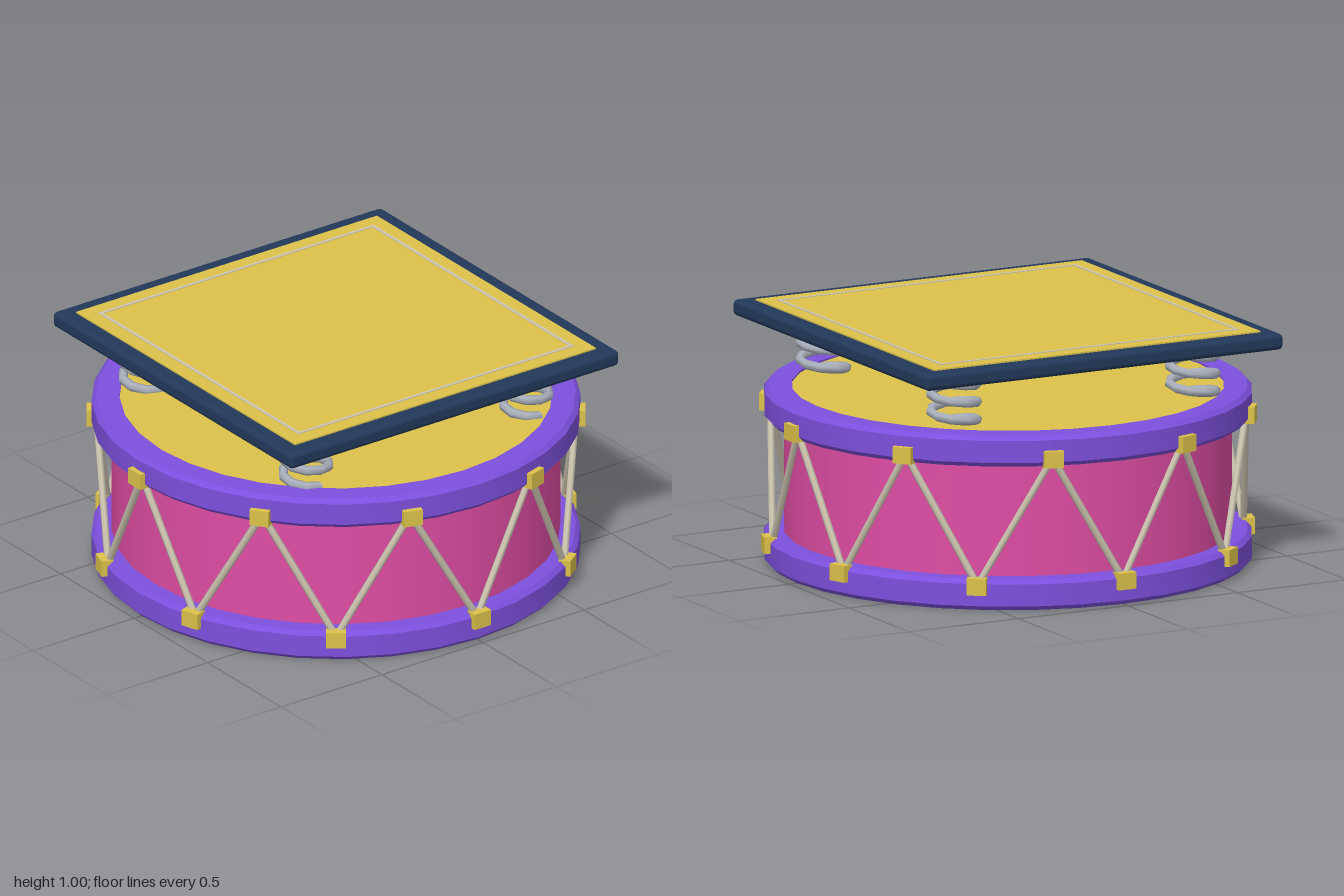
import * as THREE from 'three';
import { toCreasedNormals } from 'three/addons/utils/BufferGeometryUtils.js';
import { RoundedBoxGeometry } from 'three/addons/geometries/RoundedBoxGeometry.js';

const material = (name, color, side = THREE.FrontSide) => {
  const m = new THREE.MeshStandardMaterial({ color, side });
  m.name = name;
  return m;
};

// Helical centre line of a spring
class Helix extends THREE.Curve {
  constructor(radius, height, turns) {
    super();
    Object.assign(this, { radius, height, turns });
  }
  getPoint(t, target = new THREE.Vector3()) {
    const a = t * this.turns * Math.PI * 2;
    return target.set(this.radius * Math.cos(a), this.height * t, this.radius * Math.sin(a));
  }
}

export function createModel() {
  const model = new THREE.Group();
  model.name = 'springDrum';

  const purple = material('purple', 0x7d50de);
  const pink = material('pink', 0xe04da4, THREE.DoubleSide);
  const gold = material('gold', 0xdcc24a);
  const navy = material('navy', 0x22395a);
  const steel = material('steel', 0xaab0bc);
  const cream = material('cream', 0xcdc5b0);

  const add = (name, geometry, mat, x = 0, y = 0, z = 0, parent = model) => {
    const mesh = new THREE.Mesh(geometry, mat);
    mesh.name = name;
    mesh.position.set(x, y, z);
    parent.add(mesh);
    return mesh;
  };

  // Shell, open at the bottom
  add('shell', new THREE.CylinderGeometry(0.9, 0.9, 0.5, 32, 1, true), pink, 0, 0.355, 0);

  // Chamfered hoops
  const h = 0.126, c = 0.018, inner = 0.868, outer = 0.98;
  const profile = [
    [inner, 0], [outer - c, 0], [outer, c], [outer, h - c],
    [outer - c, h], [inner, h], [inner, 0],
  ].map(([x, y]) => new THREE.Vector2(x, y));
  const hoop = toCreasedNormals(new THREE.LatheGeometry(profile, 32), 0.5);
  add('lowerHoop', hoop, purple, 0, 0, 0);
  add('upperHoop', hoop, purple, 0, 0.589, 0);

  // Drum skin
  add('drumSkin', new THREE.CylinderGeometry(0.875, 0.875, 0.015, 32), gold, 0, 0.7, 0);

  // Clips: ten on the upper hoop, ten on the lower hoop half a step round
  const step = Math.PI / 5;
  const around = (a, r, y) => new THREE.Vector3(r * Math.sin(a), y, r * Math.cos(a));
  const clip = new THREE.BoxGeometry(0.08, 0.068, 0.05);
  const up = new THREE.Vector3(0, 1, 0);
  const addRope = (from, to) => {
    const dir = to.clone().sub(from);
    const rope = add('rope', new THREE.CylinderGeometry(0.015, 0.015, dir.length(), 6), cream);
    rope.position.copy(from).addScaledVector(dir, 0.5);
    rope.quaternion.setFromUnitVectors(up, dir.normalize());
  };
  for (let i = 0; i < 10; i++) {
    const a = i * step, b = a + step / 2;
    for (const [name, angle, y] of [['upperClip', a, 0.621], ['lowerClip', b, 0.1]]) {
      const p = around(angle, 0.975, y);
      add(name, clip, gold, p.x, p.y, p.z).rotation.y = angle;
    }
    // Zigzag ropes between the clips
    const low = around(b, 0.96, 0.1);
    addRope(around(a, 0.96, 0.62), low);
    addRope(low, around(a + step, 0.96, 0.62));
  }

  // Four coil springs
  const coil = new THREE.TubeGeometry(new Helix(0.095, 0.218, 3), 30, 0.02, 6, false);
  for (const x of [-0.545, 0.545]) {
    for (const z of [-0.545, 0.545]) add('spring', coil, steel, x, 0.71, z);
  }

  // Square board with inlaid panel and outline
  add('board', new RoundedBoxGeometry(1.63, 0.066, 1.63, 2, 0.02), navy, 0, 0.959, 0);
  add('boardPanel', new THREE.BoxGeometry(1.49, 0.008, 1.49), gold, 0, 0.994, 0);
  for (let i = 0; i < 4; i++) {
    const side = new THREE.Group();
    side.name = 'outlineSide';
    side.rotation.y = i * Math.PI / 2;
    add('outlineStrip', new THREE.BoxGeometry(1.364, 0.004, 0.014), cream, 0, 0.999, 0.675, side);
    model.add(side);
  }
  return model;
}
